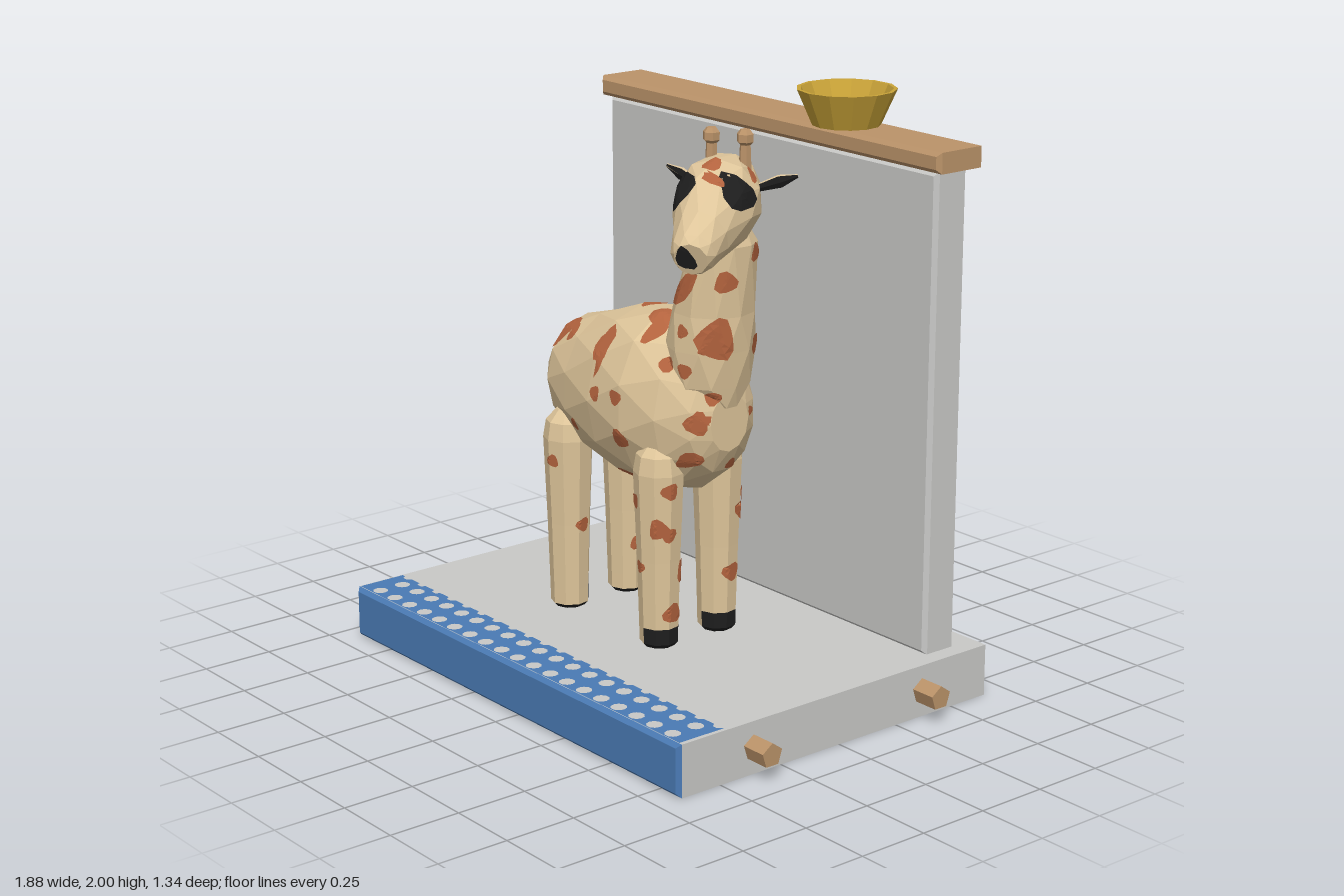
import * as THREE from 'three';

const mat = (name, color) => Object.assign(new THREE.MeshStandardMaterial({ color }), { name });
const V = (x, y, z) => new THREE.Vector3(x, y, z);
const X = V(1, 0, 0), Y = V(0, 1, 0), Z = V(0, 0, 1);

// Faceted normals
function flat(geo) {
  const g = geo.index ? geo.toNonIndexed() : geo;
  g.computeVertexNormals();
  return g;
}

// Two-colour geometry: faces passing test(normal, centre) use the second material
function splitFaces(geo, test) {
  const p = geo.attributes.position, sets = [[], []];
  for (let i = 0; i < p.count; i += 3) {
    const [a, b, c] = [0, 1, 2].map(k => V().fromBufferAttribute(p, i + k));
    const n = b.clone().sub(a).cross(c.clone().sub(a)).normalize();
    const mid = a.clone().add(b).add(c).divideScalar(3);
    sets[test(n, mid) ? 1 : 0].push(...a.toArray(), ...b.toArray(), ...c.toArray());
  }
  const g = new THREE.BufferGeometry();
  g.setAttribute('position', new THREE.Float32BufferAttribute(sets.flat(), 3));
  g.addGroup(0, sets[0].length / 3, 0);
  g.addGroup(sets[0].length / 3, sets[1].length / 3, 1);
  g.computeVertexNormals();
  return g;
}

// Box with chamfered edges, given by its limits
function chamferBox(x0, x1, y0, y1, z0, z1, c) {
  const s = new THREE.Shape();
  s.moveTo(x0 + c, y0 + c).lineTo(x1 - c, y0 + c).lineTo(x1 - c, y1 - c).lineTo(x0 + c, y1 - c).closePath();
  const g = new THREE.ExtrudeGeometry(s, {
    depth: z1 - z0 - 2 * c, bevelEnabled: true, bevelSize: c, bevelThickness: c, bevelSegments: 1,
  });
  return flat(g.translate(0, 0, z0 + c));
}

// Skin elliptical rings [centre, radius along up, radius along side]; rings advance along up x side
function loft(rings, up, side, n, twist = 0) {
  const pos = [], idx = [], last = (rings.length - 1) * n;
  rings.forEach(([c, ru, rs], j) => {
    for (let i = 0; i < n; i++) {
      const a = (i + j * twist) / n * Math.PI * 2;
      pos.push(...c.clone().addScaledVector(up, ru * Math.cos(a)).addScaledVector(side, rs * Math.sin(a)).toArray());
    }
  });
  pos.push(...rings[0][0].toArray(), ...rings.at(-1)[0].toArray());
  for (let i = 0; i < n; i++) {
    const k = (i + 1) % n;
    for (let j = 0; j < last; j += n) idx.push(j + i, j + k, j + n + i, j + k, j + n + k, j + n + i);
    idx.push(last + n, k, i, last + n + 1, last + i, last + k);
  }
  const g = new THREE.BufferGeometry();
  g.setAttribute('position', new THREE.Float32BufferAttribute(pos, 3));
  g.setIndex(idx);
  return flat(g);
}

// Axes in which markings are placed: front/back [x, y], right/left [z, y], top [x, z]
const sides = {
  front: [X, Y], back: [V(-1, 0, 0), Y], right: [V(0, 0, -1), Y], left: [Z, Y], top: [X, V(0, 0, -1)],
};

// Thin blotches draped over the target meshes: [side, a, b, ra, rb, tilt, start distance]
function drape(targets, marks) {
  const out = [], ray = new THREE.Raycaster(), rows = 3, n = 12;
  marks.forEach(([sideName, a, b, ra, rb = ra, tilt = 0, from = 2], m) => {
    const [e1, e2] = sides[sideName], nrm = e1.clone().cross(e2);
    const s1 = Math.abs(e1.x + e1.z) * (e1.x + e1.z), s2 = e2.x + e2.y + e2.z;
    const mid = e1.clone().multiplyScalar(a * s1).addScaledVector(e2, b * s2).addScaledVector(nrm, from);
    const hit = (r, i) => {
      const t = i / n * Math.PI * 2, w = r / rows * (1 + 0.14 * Math.sin(3 * t + m * 1.7));
      const u = ra * w * Math.cos(t), v = rb * w * Math.sin(t);
      const o = mid.clone().addScaledVector(e1, u * Math.cos(tilt) - v * Math.sin(tilt))
        .addScaledVector(e2, u * Math.sin(tilt) + v * Math.cos(tilt));
      ray.set(o, nrm.clone().negate());
      const h = ray.intersectObjects(targets, false)[0];
      return h ? h.point.addScaledVector(h.face.normal, 0.004) : null;
    };
    const grid = [...Array(rows + 1).keys()].map(r => [...Array(n).keys()].map(i => hit(r, i)));
    const tri = (...t) => {
      if (t.every(p => p) && t.every((p, i) => p.distanceTo(t[(i + 1) % 3]) < 0.07)) t.forEach(p => out.push(...p.toArray()));
    };
    for (let r = 0; r < rows; r++) for (let i = 0; i < n; i++) {
      const k = (i + 1) % n;
      tri(grid[r][i], grid[r + 1][i], grid[r + 1][k]);
      if (r) tri(grid[r][i], grid[r + 1][k], grid[r][k]);
    }
  });
  const g = new THREE.BufferGeometry();
  g.setAttribute('position', new THREE.Float32BufferAttribute(out, 3));
  g.computeVertexNormals();
  return g;
}

export function createModel() {
  const model = new THREE.Group();
  const grey = mat('stone grey', 0xc9c9c7), blue = mat('blue', 0x4a7ab4), wood = mat('wood', 0xbb9369);
  const gold = mat('gold', 0xc9a338), tan = mat('tan hide', 0xdec59a), rust = mat('rust spots', 0xb3633e);
  const black = mat('black', 0x1e1e1e);
  const add = (name, geo, material) => {
    const mesh = new THREE.Mesh(geo, material);
    mesh.name = name;
    model.add(mesh);
    return mesh;
  };

  // Base with blue front, wall and wooden rail
  add('base', splitFaces(chamferBox(-0.94, 0.85, 0, 0.18, -0.67, 0.67, 0.014), n => n.z > 0.3), [grey, blue]);
  add('wall', chamferBox(-0.88, 0.79, 0.178, 1.81, -0.57, -0.43, 0.014), grey);
  add('rail', chamferBox(-0.91, 0.82, 1.81, 1.88, -0.61, -0.41, 0.014), wood);

  // Blue border with scalloped edge and two rows of dots cut out
  const border = new THREE.Shape();
  border.moveTo(-0.93, -0.658).lineTo(0.84, -0.658).lineTo(0.84, -0.48);
  for (let i = 19; i >= 0; i--) {
    const x = -0.9 + i * 0.09;
    border.lineTo(x + 0.025, -0.48).lineTo(x + 0.015, -0.495).lineTo(x - 0.005, -0.495).lineTo(x - 0.015, -0.48);
  }
  border.lineTo(-0.93, -0.48);
  for (let i = 0; i < 19; i++) for (const z of [0.535, 0.627]) {
    border.holes.push(new THREE.Path().absarc(-0.85 + i * 0.09, -z, 0.027, 0, Math.PI * 2, true));
  }
  add('dottedBorder', new THREE.ShapeGeometry(border, 5).rotateX(-Math.PI / 2).translate(0, 0.183, 0), blue);

  // Joining pegs on one side, sockets on the other
  for (const z of [-0.365, 0.365]) {
    const peg = new THREE.CylinderGeometry(0.042, 0.042, 0.1, 5).rotateZ(-Math.PI / 2);
    add('peg', flat(peg.rotateX(-Math.PI / 2).translate(0.89, 0.093, z)), wood);
    add('socket', new THREE.CircleGeometry(0.043, 12).rotateY(-Math.PI / 2).translate(-0.943, 0.093, z), black);
  }

  // Bowl on the rail
  const profile = [[0, 1.88], [0.115, 1.88], [0.168, 2], [0.155, 2], [0.105, 1.895], [0, 1.895]];
  const bowl = new THREE.LatheGeometry(profile.map(p => new THREE.Vector2(...p)), 13);
  add('bowl', flat(bowl.translate(0.29, 0, -0.5)), gold);

  // Body: [x, top, bottom, half width]
  const body = add('body', loft([
    [-0.485, 1.06, 0.93, 0.07], [-0.46, 1.12, 0.86, 0.12], [-0.39, 1.19, 0.79, 0.175], [-0.25, 1.235, 0.73, 0.215],
    [-0.08, 1.29, 0.7, 0.245], [0.08, 1.315, 0.69, 0.245], [0.22, 1.26, 0.72, 0.205], [0.32, 1.16, 0.8, 0.14],
    [0.36, 1.08, 0.88, 0.08],
  ].map(([x, t, b, w]) => [V(x, (t + b) / 2, 0.055), (t - b) / 2, w]), Y, Z, 12, 0.5), tan);

  // Neck: [x, y, z, half depth, half length]
  const neck = add('neck', loft([
    [0.27, 1.03, 0.05, 0.07, 0.1], [0.25, 1.1, 0.05, 0.14, 0.135], [0.255, 1.22, 0.048, 0.15, 0.145],
    [0.268, 1.34, 0.047, 0.138, 0.135], [0.315, 1.57, 0.043, 0.116, 0.097], [0.32, 1.64, 0.043, 0.07, 0.06],
  ].map(([x, y, z, rz, rx]) => [V(x, y, z), rz, rx]), Z, X, 10, 0.5), tan);

  // Head, turned towards the front left
  const skull = V(0.33, 1.72, 0.075), dir = V(0.185, -0.11, 0.265).normalize();
  const lateral = dir.clone().cross(Y).normalize(), crown = lateral.clone().cross(dir);
  const head = add('head', loft([
    [-0.15, 0.05, 0.05], [-0.11, 0.105, 0.105], [0, 0.147, 0.14], [0.1, 0.138, 0.13],
    [0.24, 0.098, 0.09], [0.335, 0.072, 0.073], [0.365, 0.055, 0.055],
  ].map(([t, u, s]) => [skull.clone().addScaledVector(dir, t), u, s]), crown, lateral, 10, 0.5), tan);

  // Ears with dark inner faces
  for (const [base, tip] of [[V(0.23, 1.75, 0.08), V(0.125, 1.8, 0.125)], [V(0.41, 1.755, -0.015), V(0.495, 1.795, -0.108)]]) {
    const e = tip.clone().sub(base).normalize(), fwd = dir.clone().projectOnPlane(e).normalize();
    const rings = [[0, 0.008, 0.014], [0.55, 0.011, 0.024], [1, 0.004, 0.006]]
      .map(([t, u, s]) => [base.clone().lerp(tip, t), u, s]);
    add('ear', splitFaces(loft(rings, fwd, e.clone().cross(fwd), 6), (n, c) =>
      n.dot(fwd) > 0.1 && c.distanceTo(tip) > 0.02), [tan, black]);
  }

  // Horns with knobs
  for (const [x, z] of [[0.275, 0.065], [0.37, 0.005]]) {
    add('horn', loft([[1.8, 0.022], [1.89, 0.018], [1.9, 0.028], [1.925, 0.028], [1.94, 0.016]]
      .map(([y, r]) => [V(x, y, z), r, r]), Z, X, 6), wood);
  }

  // Legs with part-dark hooves
  const legs = [];
  for (const x of [-0.31, 0.18]) for (const z of [0.203, -0.047]) {
    const g = loft([[0.195, 0.052], [0.21, 0.066], [0.265, 0.067], [0.5, 0.074], [0.8, 0.086], [0.86, 0.076], [0.9, 0.04]]
      .map(([y, r]) => [V(x, y, z), r, r]), Z, X, 9);
    const dark = (n, c) => c.y < 0.265 && (n.y < -0.2 || (x > 0 ? n.x > 0.3 : n.z < -0.3));
    legs.push(add((x > 0 ? 'front' : 'hind') + 'Leg', splitFaces(g, dark), [tan, black]));
  }

  // Tail and tuft
  const strand = pts => loft(pts.map(([x, y, r]) => [V(x, y, 0.055), r, r]), Z, X, 6);
  add('tail', strand([[-0.493, 0.64, 0.01], [-0.485, 0.74, 0.014], [-0.468, 0.83, 0.018], [-0.44, 0.93, 0.03]]), tan);
  add('tailTuft', strand([[-0.495, 0.49, 0.004], [-0.497, 0.585, 0.035], [-0.49, 0.68, 0.008]]), wood);

  // Eye patches and nose
  add('eyesAndNose', drape([head], [
    ['front', 0.33, 1.765, 0.066, 0.055], ['right', 0.12, 1.765, 0.075, 0.052, -0.35], ['front', 0.516, 1.605, 0.026, 0.037],
  ]), black);

  // Hide spots
  const flank = [[-0.39, 1.14, 0.04], [-0.3, 1.16, 0.024], [-0.06, 1.18, 0.035, 0.055], [-0.04, 1.03, 0.025],
    [0.065, 1.04, 0.026], [0.075, 0.9, 0.033], [-0.2, 0.88, 0.022], [-0.42, 0.83, 0.025], [0.12, 1.25, 0.03],
    [0, 0.735, 0.08, 0.022], [0.35, 1, 0.015], [0.255, 1.42, 0.095, 0.033, 0.7], [0.28, 1.29, 0.022],
    [0.36, 1.24, 0.022], [0.22, 1.17, 0.025], [0.29, 1.16, 0.025], [0.27, 1.55, 0.03],
    [-0.295, 0.73, 0.022], [0.15, 0.705, 0.025], [0.17, 0.48, 0.022], [0.235, 0.62, 0.02, 0.035]];
  const chest = [[0.1, 1.46, 0.035], [0.12, 1.27, 0.05, 0.07], [-0.04, 1.22, 0.024], [0.12, 1.07, 0.024],
    [-0.02, 1.54, 0.03], [0.17, 0.99, 0.03, 0.04], [-0.13, 1.06, 0.02], [0.17, 0.86, 0.03], [0.03, 0.83, 0.02],
    [0.22, 0.75, 0.028], [0.22, 0.6, 0.025], [0.16, 0.46, 0.024, 0.04], [0.2, 0.32, 0.034], [-0.05, 0.41, 0.032],
    [-0.1, 0.68, 0.018, 0.03], [0.02, 1.8, 0.022], [0.18, 1.81, 0.02]];
  const back = [[-0.37, -0.06, 0.04], [-0.36, 0.15, 0.045], [-0.22, 0.04, 0.025], [-0.12, -0.03, 0.025], [-0.04, 0.04, 0.045],
    [0.1, -0.08, 0.05], [0.1, 0.12, 0.045], [-0.06, 0.24, 0.04], [0, -0.16, 0.022], [0.37, 0.14, 0.03]];
  const rump = [[0.16, 1.08, 0.03], [-0.02, 1, 0.035], [0.12, 0.9, 0.025], [0.2, 0.65, 0.025], [-0.04, 0.5, 0.03],
    [0.19, 0.4, 0.025], [0.05, 1.45, 0.035], [0.04, 1.74, 0.025]];
  const hind = [[0.2, 0.5, 0.025], [-0.05, 0.6, 0.03], [-0.04, 0.38, 0.025]];
  const marks = [
    ...flank.map(s => ['front', ...s]),
    ...flank.map(([x, y, a, b = a, t = 0]) => ['back', x, y, a, b, -t]),
    ...chest.map(s => ['right', ...s]), ...back.map(s => ['top', ...s]), ...rump.map(s => ['left', ...s]),
    ...hind.map(([z, y, r]) => ['right', z, y, r, r, 0, -0.1]),
    ...hind.map(([z, y, r]) => ['left', z, y + 0.08, r, r, 0, 0]),
  ];
  add('spots', drape([body, neck, head, ...legs], marks), rust);
  return model;
}
